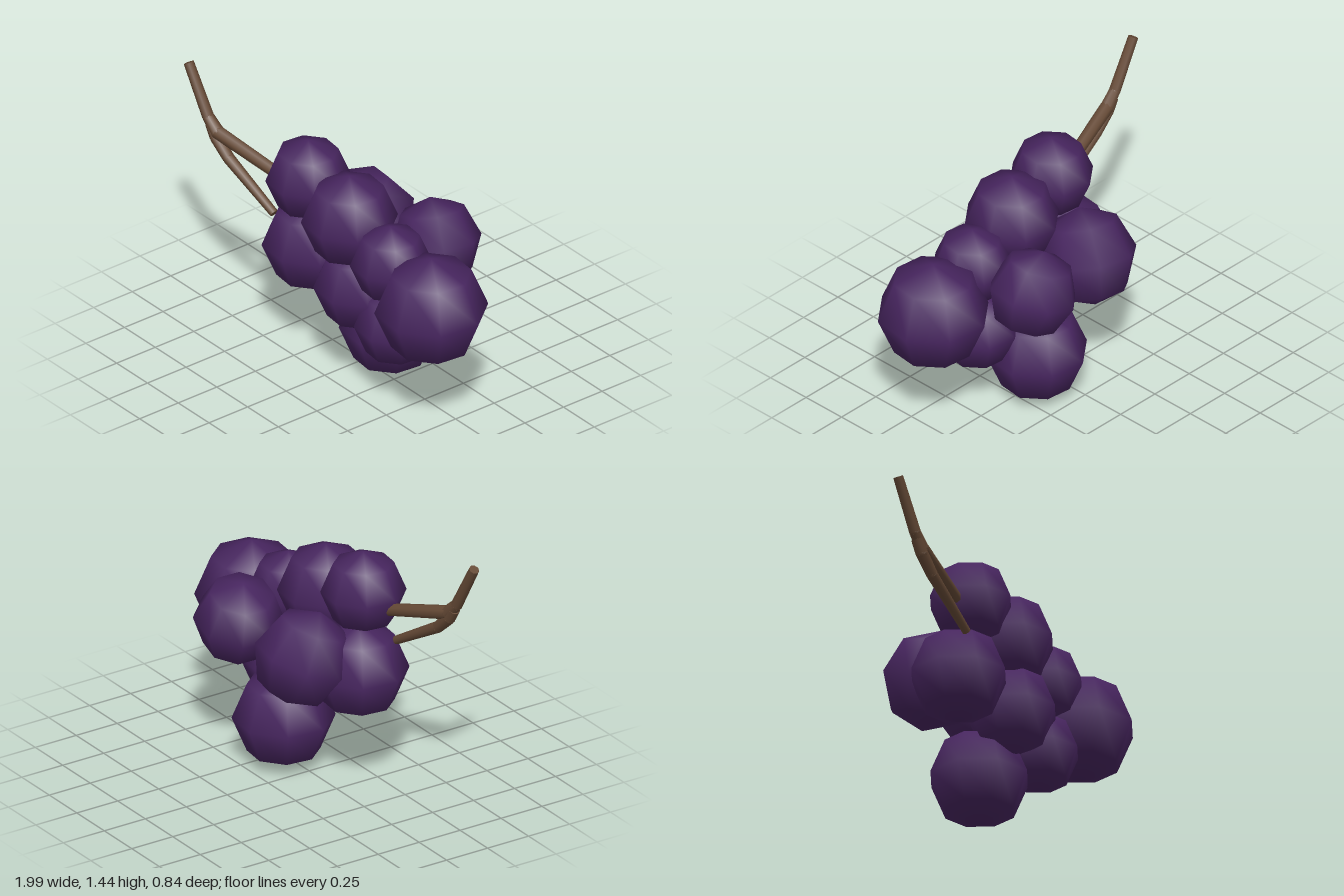
import * as THREE from 'three';

export function createModel() {
  const model = new THREE.Group();
  model.name = 'berryCluster';

  const skin = new THREE.MeshStandardMaterial({ color: 0x47255f });
  skin.name = 'berryPurple';
  const bark = new THREE.MeshStandardMaterial({ color: 0x664a36 });
  bark.name = 'stemBrown';

  // Berries: x, y, z, radius, then optional tilt about x and z
  const berries = [
    [-0.21, 1.055, 0.19, 0.22],
    [0.10, 0.95, 0.17, 0.25],
    [0.41, 0.828, 0.15, 0.21],
    [0.715, 0.692, 0.13, 0.293],
    [-0.245, 0.645, 0.14, 0.257],
    [0.16, 0.585, 0.15, 0.24],
    [0.41, 0.455, 0.115, 0.218],
    [0.15, 0.27, -0.055, 0.265],
    [-0.14, 0.735, -0.13, 0.26, 0.3, 0.12],
    [0.335, 0.785, -0.205, 0.235, -0.15, 0.3],
  ];
  const sphere = new THREE.SphereGeometry(1, 8, 4);
  berries.forEach(([x, y, z, r, tiltX = 0, tiltZ = 0], i) => {
    const berry = new THREE.Mesh(sphere, skin);
    berry.name = `berry${i + 1}`;
    berry.position.set(x, y, z);
    berry.scale.setScalar(r);
    berry.rotation.set(tiltX, 0.28, tiltZ);
    model.add(berry);
  });

  // Stem pieces: tapered cylinders laid end to end through [x, y, z, radius] points
  function branch(name, points) {
    const group = new THREE.Group();
    group.name = name;
    for (let i = 0; i < points.length - 1; i++) {
      const a = new THREE.Vector3(...points[i]);
      const b = new THREE.Vector3(...points[i + 1]);
      const dir = b.clone().sub(a);
      const piece = new THREE.Mesh(
        new THREE.CylinderGeometry(points[i + 1][3], points[i][3], dir.length(), 8), bark);
      piece.name = `${name}Piece${i + 1}`;
      piece.position.copy(a).add(b).multiplyScalar(0.5);
      piece.quaternion.setFromUnitVectors(new THREE.Vector3(0, 1, 0), dir.normalize());
      group.add(piece);
      // Rounded joint at each bend
      if (i > 0) {
        const joint = new THREE.Mesh(new THREE.SphereGeometry(points[i][3], 8, 6), bark);
        joint.name = `${name}Joint${i}`;
        joint.position.copy(a);
        group.add(joint);
      }
    }
    model.add(group);
  }
  branch('upperStem', [
    [-0.975, 1.435, 0.353, 0.027],
    [-0.83, 1.18, 0.343, 0.031],
    [-0.765, 1.115, 0.335, 0.037],
    [-0.3, 0.98, 0.215, 0.032],
  ]);
  branch('lowerStem', [
    [-0.81, 1.15, 0.34, 0.032],
    [-0.77, 1.085, 0.338, 0.034],
    [-0.68, 1.0, 0.33, 0.031],
    [-0.36, 0.808, 0.29, 0.023],
  ]);
  return model;
}
